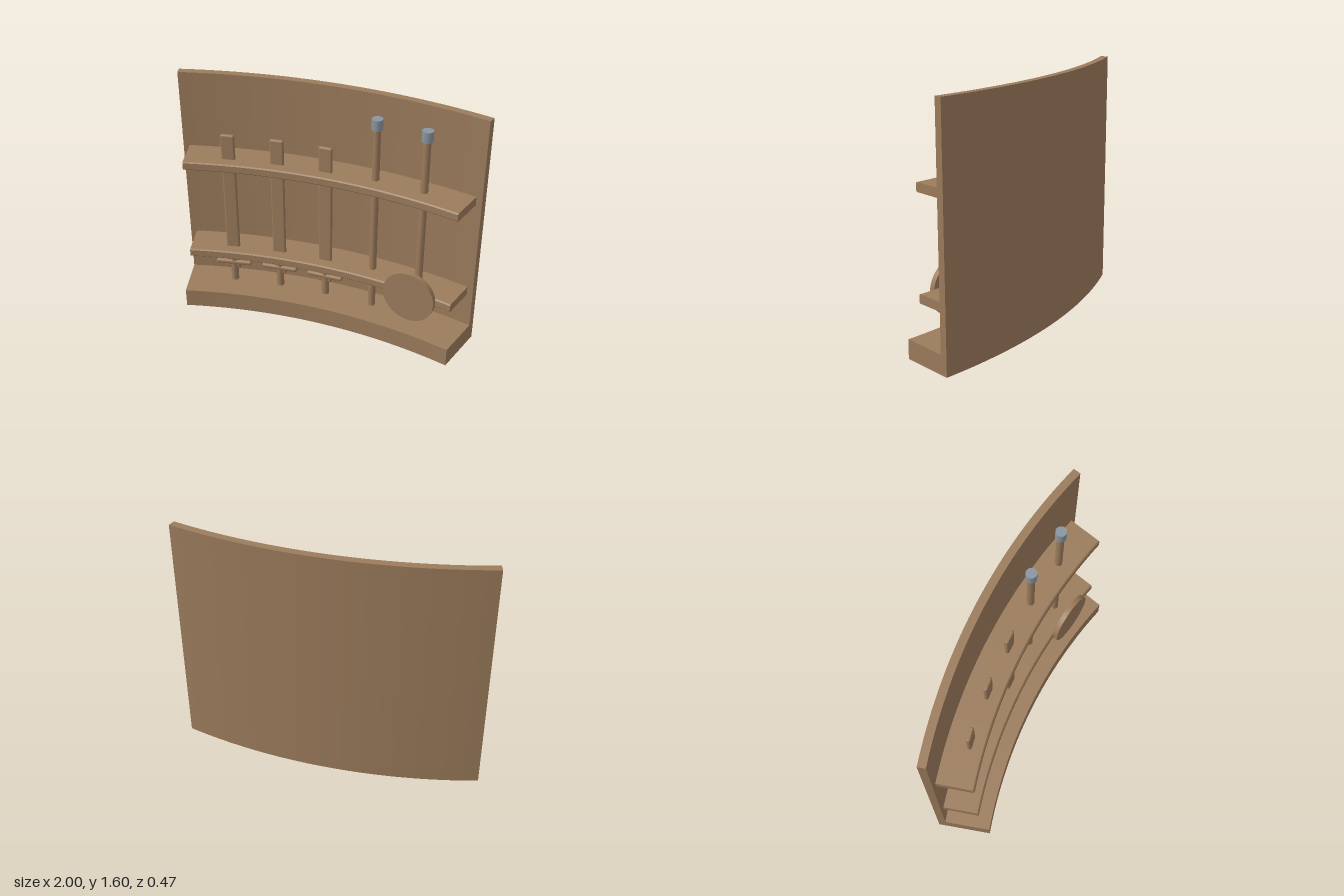
import * as THREE from 'three';
import { toCreasedNormals } from 'three/addons/utils/BufferGeometryUtils.js';
import { RoundedBoxGeometry } from 'three/addons/geometries/RoundedBoxGeometry.js';

const CENTRE_Z = 3.53; // the whole rack curves around this vertical axis
const STEP = THREE.MathUtils.degToRad(5.12); // spacing between stored weapons

const wood = new THREE.MeshStandardMaterial({ color: 0x9b7b5b });
wood.name = 'wood';
const steel = new THREE.MeshStandardMaterial({ color: 0x8a959f });
steel.name = 'steel';

function mesh(name, geometry, material, x = 0, y = 0, z = 0) {
  const m = new THREE.Mesh(geometry, material);
  m.name = name;
  m.position.set(x, y, z);
  return m;
}

// Rectangular section (radius by height) swept along an arc, front edge chamfered by c
function curvedBoard(rFront, rBack, y0, y1, halfAngle, c = 0) {
  const section = [[rBack, y0], [rBack, y1]];
  if (c) section.push([rFront + c, y1], [rFront, y1 - c], [rFront, y0 + c], [rFront + c, y0]);
  else section.push([rFront, y1], [rFront, y0]);
  const shape = new THREE.Shape(section.map(([r, y]) => new THREE.Vector2(r, y)));
  const geo = new THREE.ExtrudeGeometry(shape, { depth: 2 * halfAngle, steps: 32, bevelEnabled: false });
  const p = geo.attributes.position;
  for (let i = 0; i < p.count; i++) {
    const r = p.getX(i), a = p.getZ(i) - halfAngle;
    p.setXYZ(i, r * Math.sin(a), p.getY(i), CENTRE_Z - r * Math.cos(a));
  }
  return toCreasedNormals(geo, 0.4);
}

// Puts a group on the arc, facing the axis
function placeOnArc(group, radius, angle) {
  group.position.set(radius * Math.sin(angle), 0, CENTRE_Z - radius * Math.cos(angle));
  group.rotation.y = -angle;
  return group;
}

function sword() {
  const g = new THREE.Group();
  g.name = 'sword';
  g.add(
    mesh('blade', new RoundedBoxGeometry(0.09, 1.015, 0.028, 2, 0.012), wood, 0, 0.748, 0),
    mesh('crossguard', new RoundedBoxGeometry(0.245, 0.033, 0.05, 3, 0.015), wood, 0, 0.29, 0.002),
    mesh('grip', new THREE.CylinderGeometry(0.025, 0.025, 0.21, 16), wood, 0, 0.25, 0)
  );
  return g;
}

function staff() {
  const g = new THREE.Group();
  g.name = 'staff';
  g.add(
    mesh('shaft', new THREE.CylinderGeometry(0.024, 0.024, 1.31, 16), wood, 0, 0.78, 0),
    mesh('staffCap', new THREE.CylinderGeometry(0.035, 0.035, 0.07, 16), steel, 0, 1.465, 0)
  );
  return g;
}

export function createModel() {
  const model = new THREE.Group();
  model.name = 'weaponRack';
  const span = Math.asin(1 / 3.77);

  // Curved back, plinth and two shelves
  model.add(
    mesh('backPanel', curvedBoard(3.72, 3.77, 0, 1.6, span), wood),
    mesh('plinth', curvedBoard(3.42, 3.72, 0, 0.125, span), wood)
  );
  for (const [name, y] of [['lowerShelf', 0.36], ['upperShelf', 1.027]]) {
    model.add(mesh(name, curvedBoard(3.49, 3.72, y, y + 0.058, 0.2578, 0.008), wood));
  }

  // Three swords on the right, two staffs on the left
  for (const i of [-2, -1, 0]) model.add(placeOnArc(sword(), 3.578, i * STEP));
  for (const i of [1, 2]) model.add(placeOnArc(staff(), 3.604, i * STEP));

  // Round shield hung on the lower shelf
  const shield = new THREE.Group();
  shield.name = 'shield';
  const disc = mesh('shieldDisc', new THREE.CylinderGeometry(0.175, 0.175, 0.033, 40), wood, 0, 0.385, 0);
  disc.rotation.x = Math.PI / 2;
  shield.add(disc);
  model.add(placeOnArc(shield, 3.475, 0.178));

  return model;
}
